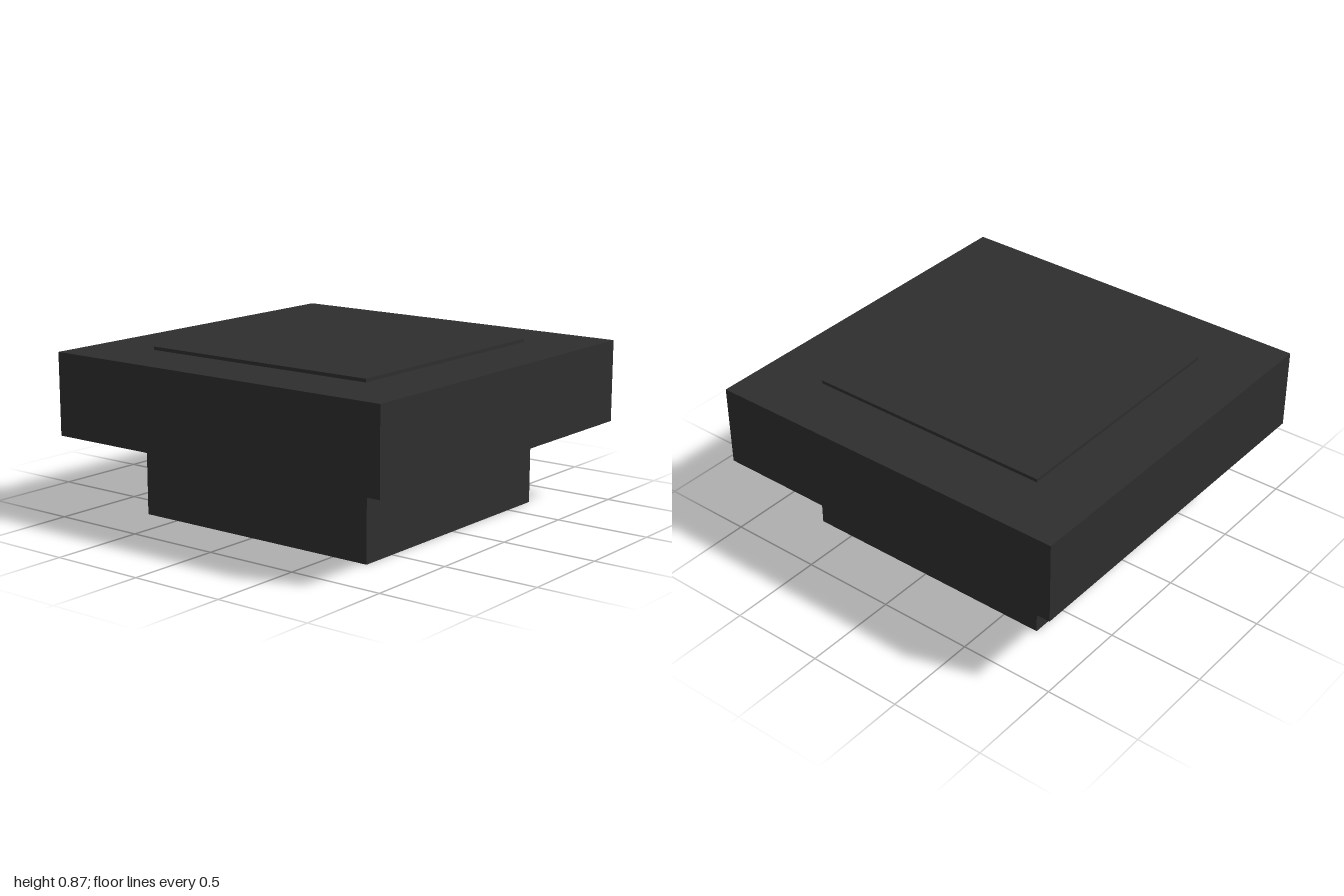
import * as THREE from 'three';

export function createModel() {
  const model = new THREE.Group();
  model.name = 'pedestal';
  const charcoal = new THREE.MeshStandardMaterial({ color: 0x2e2e2e });
  charcoal.name = 'charcoal';

  const BASE_TOP = 0.423, SLAB_TOP = 0.85, PLATE_TOP = 0.867;

  const add = (name, geometry, y) => {
    const mesh = new THREE.Mesh(geometry, charcoal);
    mesh.name = name;
    mesh.position.y = y;
    model.add(mesh);
    return mesh;
  };

  // Square block of a given width between two heights
  const block = (name, width, bottom, top) =>
    add(name, new THREE.BoxGeometry(width, top - bottom, width), (bottom + top) / 2);

  // Square outline centred on the origin
  const square = (PathType, half) => new PathType([
    new THREE.Vector2(-half, -half), new THREE.Vector2(half, -half),
    new THREE.Vector2(half, half), new THREE.Vector2(-half, half),
  ]);

  // Hollow square base, open underneath up to the slab
  const outline = square(THREE.Shape, 0.7);
  outline.holes.push(square(THREE.Path, 0.467));
  const baseGeometry = new THREE.ExtrudeGeometry(outline, { depth: BASE_TOP, bevelEnabled: false });
  baseGeometry.rotateX(-Math.PI / 2);
  add('hollowBase', baseGeometry, 0);

  // Overhanging slab and the thin raised plate on it
  block('topSlab', 2, BASE_TOP, SLAB_TOP);
  block('raisedPlate', 1.333, SLAB_TOP, PLATE_TOP);

  return model;
}
